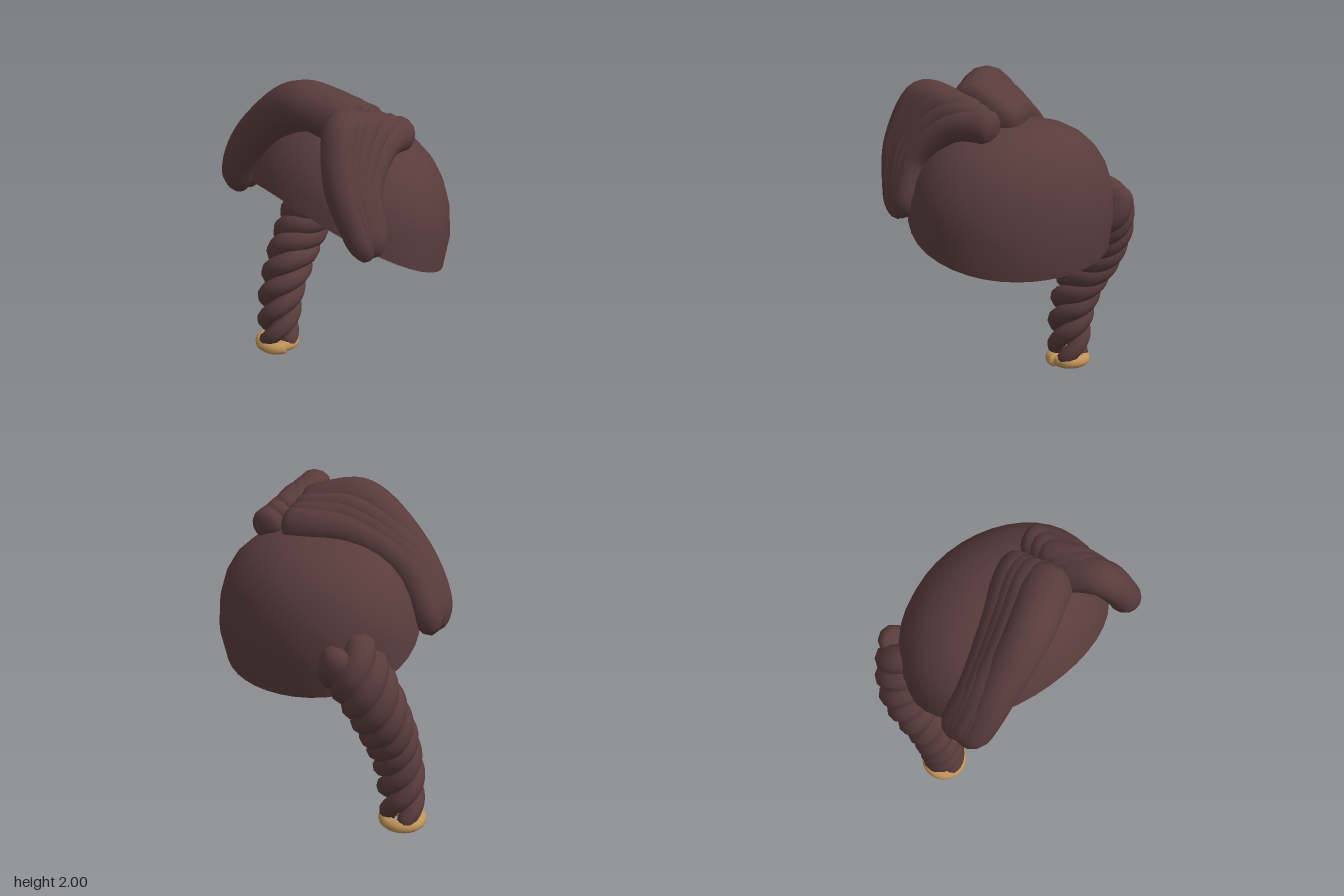
import * as THREE from 'three';
import { mergeVertices } from 'three/addons/utils/BufferGeometryUtils.js';

const V = (p) => new THREE.Vector3(...p);
const curveOf = (pts) => new THREE.CatmullRomCurve3(pts);

// Weld seams and poles, then rebuild smooth normals
function smooth(geo) {
  geo.deleteAttribute('uv');
  geo.deleteAttribute('normal');
  const welded = mergeVertices(geo, 1e-5);
  welded.computeVertexNormals();
  return welded;
}

// Tube whose radius runs from r0 to r1, with rounded closed ends
function lock(curve, r0, r1, segs, sides, endA, endB) {
  const geo = new THREE.TubeGeometry(curve, segs, 1, sides, false);
  const pos = geo.attributes.position;
  const round = (d, e) => (d >= e ? 1 : Math.sqrt(Math.max(0, 1 - (1 - d / e) ** 2)));
  const p = new THREE.Vector3();
  for (let i = 0; i <= segs; i++) {
    const u = i / segs;
    const c = curve.getPointAt(u);
    const r = (r0 + (r1 - r0) * u) * round(u, endA) * round(1 - u, endB);
    for (let j = 0; j <= sides; j++) {
      const k = i * (sides + 1) + j;
      p.fromBufferAttribute(pos, k).sub(c).multiplyScalar(r).add(c);
      pos.setXYZ(k, p.x, p.y, p.z);
    }
  }
  return smooth(geo);
}

// Domed shell with a rim that dips toward the back and tucks in slightly
function capGeometry() {
  const geo = new THREE.SphereGeometry(1, 40, 8, 0, Math.PI * 2, 0, Math.PI / 2);
  const pos = geo.attributes.position, uv = geo.attributes.uv;
  const bend = (v) => Math.sign(v) * Math.abs(v) ** 0.8;
  const cy = 1.1, ry = 0.62;
  for (let i = 0; i < pos.count; i++) {
    const a = uv.getX(i) * Math.PI * 2;
    const t = 1 - uv.getY(i);
    const zr = 0.5 * Math.sin(a);
    const rim = 1.07 + 0.49 * zr + 0.29 * zr * zr + 0.02 * Math.cos(a);
    const k = (rim - cy) / ry;
    const phi = t * Math.acos(Math.sign(k) * Math.abs(k) ** 1.25);
    const y = cy + ry * bend(Math.cos(phi));
    const s = bend(Math.sin(phi)) * (1 - 0.3 * Math.max(0, 1.07 - y));
    pos.setXYZ(i, 0.07 - 0.675 * Math.cos(a) * s, y, 0.525 * Math.sin(a) * s);
  }
  return smooth(geo);
}

// Row of overlapping locks blended between a front and a back path, arched upward in the middle
function fringe(name, material, front, back, radii, rTip) {
  const group = new THREE.Group();
  group.name = name;
  radii.forEach((r, i) => {
    const f = i / (radii.length - 1);
    const arch = 0.03 * Math.sin(Math.PI * f);
    const curve = curveOf(front.map((p, k) => V(p).lerp(V(back[k]), f).add(V([0, arch, 0]))));
    const mesh = new THREE.Mesh(lock(curve, r, rTip, 48, 14, 0.08, 0.14), material);
    mesh.name = 'fringeLock' + (i + 1);
    group.add(mesh);
  });
  return group;
}

// Three strands twisted around a hanging path
function braid(material) {
  const group = new THREE.Group();
  group.name = 'braid';
  const path = curveOf([
    [-0.4, 1.22, -0.265], [-0.47, 1.13, -0.23], [-0.545, 0.97, -0.17], [-0.565, 0.8, -0.09],
    [-0.55, 0.6, 0.02], [-0.55, 0.4, 0.085], [-0.55, 0.2, 0.11], [-0.555, 0.04, 0.12],
  ].map(V));
  const n = 72;
  const frames = path.computeFrenetFrames(n, false);
  for (let s = 0; s < 3; s++) {
    const pts = [];
    for (let i = 0; i <= n; i++) {
      const t = i / n;
      const a = Math.PI * 2 * (3.9 * t - 0.8 * t * t + (s + 0.5) / 3);
      const off = 0.107 - 0.026 * t;
      pts.push(path.getPointAt(t)
        .addScaledVector(frames.normals[i], off * Math.cos(a))
        .addScaledVector(frames.binormals[i], off * Math.sin(a)));
    }
    const mesh = new THREE.Mesh(lock(curveOf(pts), 0.092, 0.054, 150, 10, 0.03, 0.02), material);
    mesh.name = 'braidStrand' + (s + 1);
    group.add(mesh);
  }
  return group;
}

// Hair tie coiled a little past one full turn
function hairTie(material) {
  const pts = [];
  for (let i = 0; i <= 40; i++) {
    const t = i / 40;
    const a = 0.05 + t * Math.PI * 2 * 1.3;
    const r = 0.107 - 0.06 * Math.max(0, (t - 0.68) / 0.32);
    pts.push(new THREE.Vector3(-0.555 + r * Math.cos(a), 0.045, 0.12 + r * Math.sin(a)));
  }
  const mesh = new THREE.Mesh(lock(curveOf(pts), 0.042, 0.035, 64, 12, 0.02, 0.04), material);
  mesh.name = 'hairTie';
  return mesh;
}

export function createModel() {
  const hair = new THREE.MeshStandardMaterial({ color: 0x593c3c });
  hair.name = 'dark brown hair';
  const shell = new THREE.MeshStandardMaterial({ color: 0x593c3c, side: THREE.DoubleSide });
  shell.name = 'dark brown hair shell';
  const gold = new THREE.MeshStandardMaterial({ color: 0xc0935a });
  gold.name = 'tan band';

  const model = new THREE.Group();
  model.name = 'hair';
  const cap = new THREE.Mesh(capGeometry(), shell);
  cap.name = 'hairCap';
  model.add(cap);

  // Long sweep to the right, short sweep to the left
  model.add(fringe('rightFringe', hair,
    [[0.3, 1.76, 0.11], [0.15, 1.83, 0.19], [0, 1.86, 0.28], [-0.3, 1.64, 0.37], [-0.48, 1.38, 0.4], [-0.55, 1.19, 0.36]],
    [[0.29, 1.71, -0.06], [0.12, 1.74, 0.01], [-0.05, 1.73, 0.12], [-0.36, 1.57, 0.27], [-0.52, 1.34, 0.29], [-0.57, 1.19, 0.3]],
    [0.15, 0.11, 0.11, 0.11, 0.125], 0.092));
  model.add(fringe('leftFringe', hair,
    [[0.35, 1.74, 0.12], [0.4, 1.82, 0.22], [0.46, 1.85, 0.33], [0.57, 1.6, 0.42], [0.645, 1.34, 0.37], [0.68, 1.18, 0.31]],
    [[0.36, 1.7, -0.17], [0.4, 1.72, -0.06], [0.46, 1.71, 0.07], [0.58, 1.53, 0.26], [0.655, 1.32, 0.27], [0.68, 1.19, 0.28]],
    [0.11, 0.092, 0.092, 0.092, 0.105], 0.07));

  model.add(braid(hair), hairTie(gold));
  return model;
}
